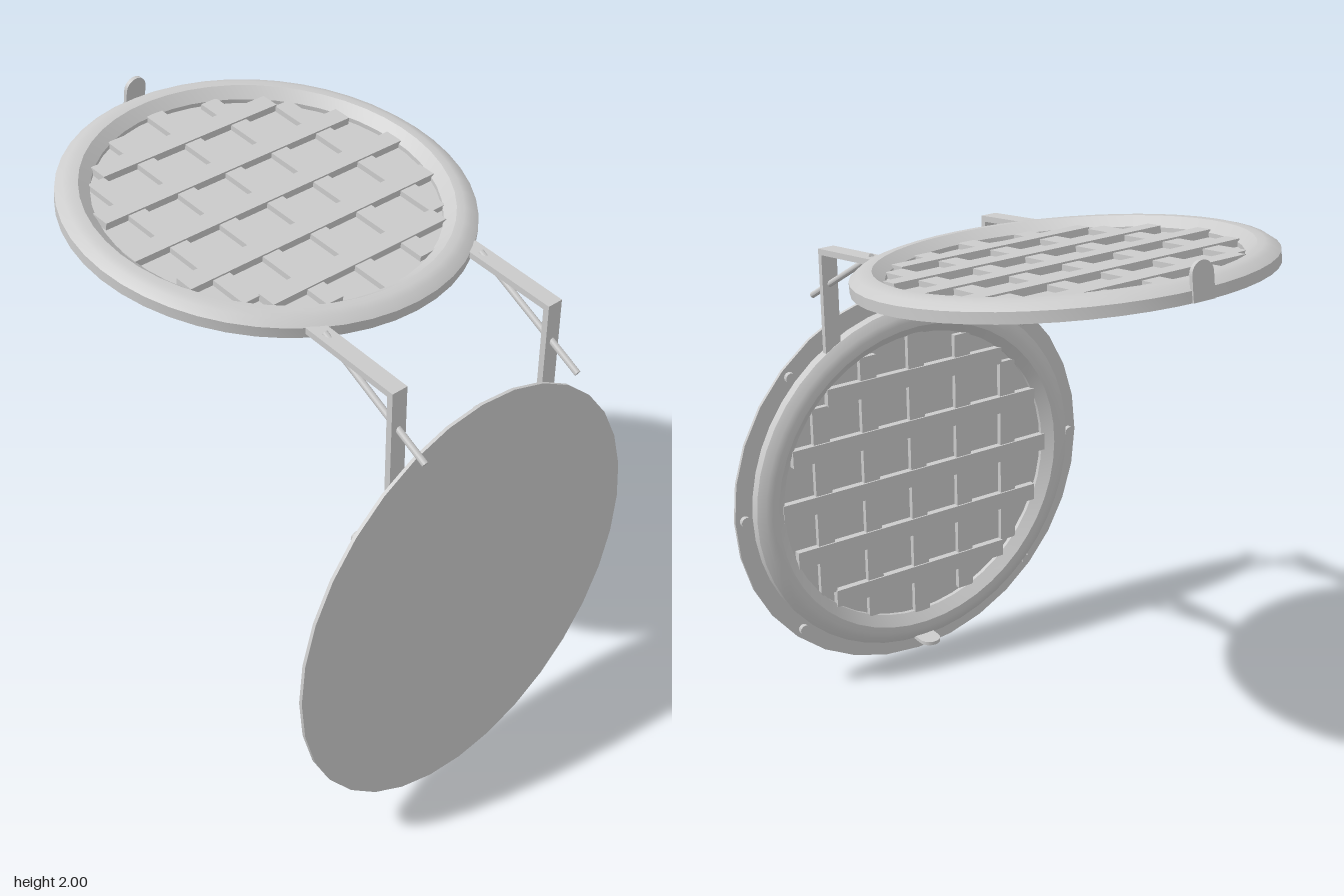
import * as THREE from 'three';
import { toCreasedNormals } from 'three/addons/utils/BufferGeometryUtils.js';

const material = new THREE.MeshStandardMaterial({ color: 0xcccccc });

function addMesh(parent, name, geometry, x = 0, y = 0, z = 0) {
  const mesh = new THREE.Mesh(geometry, material);
  mesh.name = name;
  mesh.position.set(x, y, z);
  parent.add(mesh);
  return mesh;
}

// Round panel lying on its back: bevelled rim, recessed floor, grid of ribs, tab
function createPanel(name) {
  const panel = new THREE.Group();
  panel.name = name;

  const profile = [
    [0, 0], [0.674, 0], [0.674, 0.036], [0.648, 0.055], [0.625, 0.062],
    [0.6, 0.062], [0.562, 0.03], [0.562, 0.015], [0, 0.015],
  ].map(([r, y]) => new THREE.Vector2(r, y));
  addMesh(panel, 'rim', toCreasedNormals(new THREE.LatheGeometry(profile, 48), 0.35));

  // Ribs end inside the inner bevel of the rim
  for (let i = -2; i <= 2; i++) {
    const p = i * 0.2;
    const length = 2 * Math.sqrt(0.57 ** 2 - (Math.abs(p) + 0.033) ** 2);
    addMesh(panel, 'crossRib', new THREE.BoxGeometry(length, 0.03, 0.066), 0, 0.025, p);
    addMesh(panel, 'lengthRib', new THREE.BoxGeometry(0.066, 0.024, length), p, 0.022, 0);
  }

  // Round-ended tab on the free edge
  const tab = new THREE.Shape();
  tab.moveTo(-0.04, 0);
  tab.lineTo(0.04, 0);
  tab.lineTo(0.04, 0.079);
  tab.absarc(0, 0.079, 0.04, 0, Math.PI, false);
  tab.closePath();
  const tabGeometry = new THREE.ExtrudeGeometry(tab, { depth: 0.014, bevelEnabled: false, curveSegments: 10 });
  addMesh(panel, 'tab', tabGeometry, 0, 0, -0.677);
  return panel;
}

export function createModel() {
  const model = new THREE.Group();
  model.name = 'hatch';

  // Upright base panel, ribs facing the back
  const base = createPanel('basePanel');
  base.position.set(0, 0.745, 0.752);
  base.rotation.x = -Math.PI / 2;
  model.add(base);
  const flange = toCreasedNormals(new THREE.CylinderGeometry(0.742, 0.742, 0.012, 32), 0.5);
  addMesh(base, 'flange', flange, 0, -0.005, 0);

  // Bolts around the flange; the tab takes the lowest place
  for (let i = 0; i < 8; i++) {
    if (i === 6) continue;
    const a = i * Math.PI / 4;
    const bolt = toCreasedNormals(new THREE.CylinderGeometry(0.019, 0.019, 0.018, 12), 0.6);
    addMesh(base, 'bolt', bolt, 0.706 * Math.cos(a), 0.009, 0.706 * Math.sin(a));
  }

  // Raised lid, tilted up toward the back
  const lid = createPanel('lid');
  lid.position.set(0, 1.785, -0.185);
  lid.rotation.x = 0.142;
  model.add(lid);

  // Hinge arms: bent strap and slanting rod on each side
  const strap = new THREE.Shape([
    [0.739, 1.31], [0.739, 1.688], [0.38, 1.743], [0.38, 1.722], [0.718, 1.67], [0.718, 1.31],
  ].map(([z, y]) => new THREE.Vector2(z, y)));
  const strapGeometry = new THREE.ExtrudeGeometry(strap, { depth: 0.06, bevelEnabled: false });
  strapGeometry.rotateY(-Math.PI / 2).translate(0.03, 0, 0);

  const rodStart = new THREE.Vector3(0, 1.485, 0.848);
  const rodEnd = new THREE.Vector3(0, 1.735, 0.43);
  const rodAxis = rodEnd.clone().sub(rodStart);
  const rodGeometry = toCreasedNormals(new THREE.CylinderGeometry(0.011, 0.011, rodAxis.length(), 12), 0.6);
  const rodMiddle = rodStart.clone().lerp(rodEnd, 0.5);

  for (const side of [-1, 1]) {
    const arm = new THREE.Group();
    arm.name = side > 0 ? 'leftHingeArm' : 'rightHingeArm';
    arm.position.x = side * 0.336;
    model.add(arm);
    addMesh(arm, 'strap', strapGeometry);
    const rod = addMesh(arm, 'rod', rodGeometry, 0, rodMiddle.y, rodMiddle.z);
    rod.quaternion.setFromUnitVectors(new THREE.Vector3(0, 1, 0), rodAxis.clone().normalize());
  }
  return model;
}
